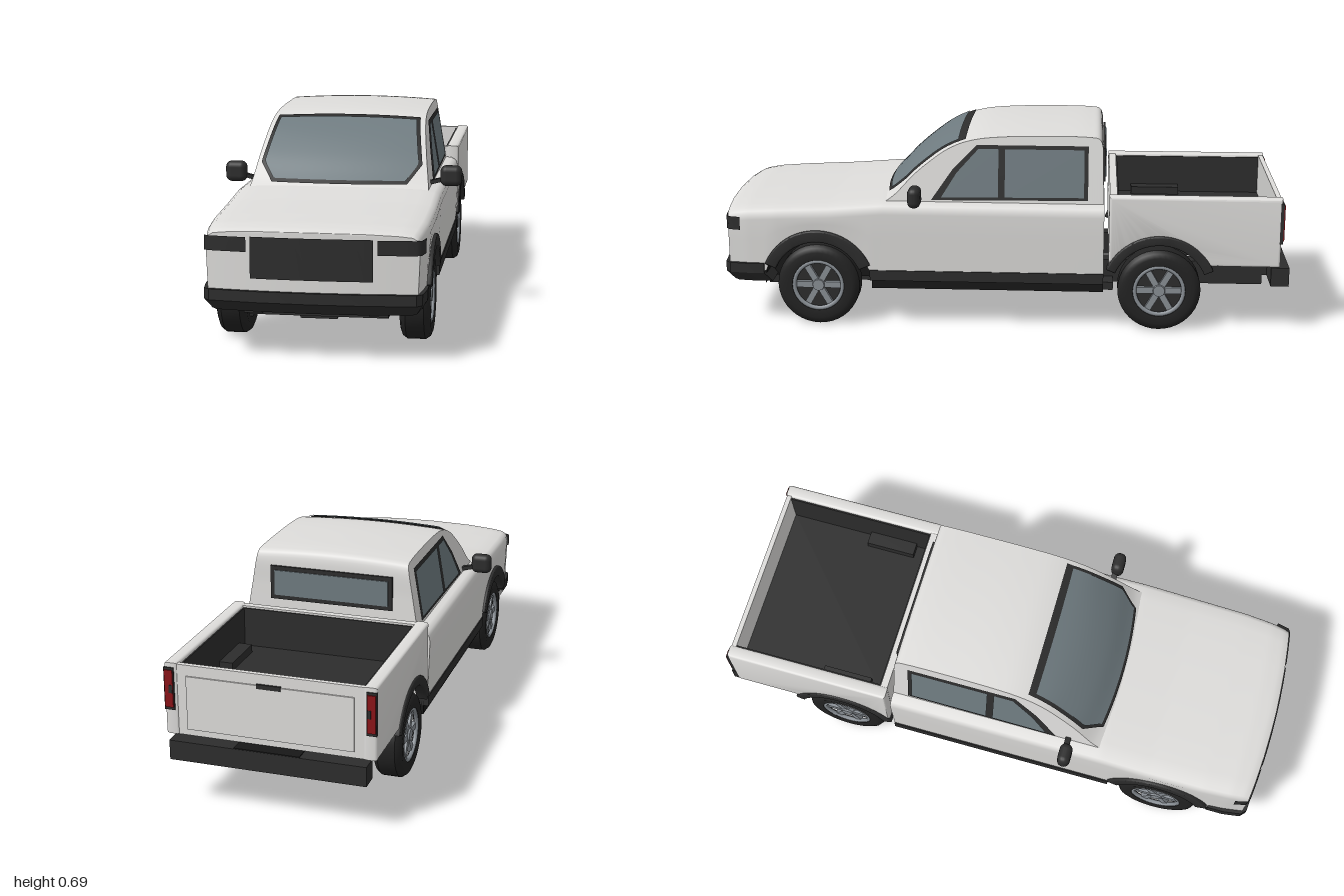
import * as THREE from 'three';
import { toCreasedNormals } from 'three/addons/utils/BufferGeometryUtils.js';
import { RoundedBoxGeometry } from 'three/addons/geometries/RoundedBoxGeometry.js';

const mat = (name, color, side = THREE.FrontSide) => {
  const m = new THREE.MeshStandardMaterial({ color, side });
  m.name = name;
  return m;
};
const { lerp, smoothstep } = THREE.MathUtils;

// piecewise linear lookup in [[key, value], ...] with rising keys
function look(table, k) {
  for (let i = 1; i < table.length; i++) {
    const [a, va] = table[i - 1], [b, vb] = table[i];
    if (k <= b) return lerp(va, vb, Math.max(0, (k - a) / (b - a)));
  }
  return table[table.length - 1][1];
}

// surface through fn(i, j) -> [x, y, z]
function grid(nu, nv, fn) {
  const pos = [], idx = [];
  for (let i = 0; i <= nu; i++) for (let j = 0; j <= nv; j++) pos.push(...fn(i, j));
  for (let i = 0; i < nu; i++) for (let j = 0; j < nv; j++) {
    const a = i * (nv + 1) + j, b = a + nv + 1;
    idx.push(a, b, a + 1, b, b + 1, a + 1);
  }
  const g = new THREE.BufferGeometry();
  g.setAttribute('position', new THREE.Float32BufferAttribute(pos, 3));
  g.setIndex(idx);
  g.computeVertexNormals();
  return g;
}

const ARCH_Y = 0.145, FRONT_Z = 0.65, REAR_Z = -0.55;
const widthAt = z => look([[-0.355, 0.355], [0.6, 0.355], [0.8, 0.352], [0.9, 0.345], [0.965, 0.335]], z);
const topAt = z => look([[-0.355, 0.455], [0.42, 0.457], [0.6, 0.443], [0.8, 0.434], [0.9, 0.428], [0.95, 0.42], [0.965, 0.412]], z);
const bow = (x, z) => z + 0.022 * (1 - (x / 0.335) ** 2) * smoothstep(z, 0.8, 0.965);
const cabWidth = y => 0.31 - 0.17 * (y - 0.44);

export function createModel() {
  const root = new THREE.Group();
  const D = THREE.DoubleSide;
  const body = mat('white paint', 0xdedddb, D), black = mat('black trim', 0x2d2d2d, D);
  const glass = mat('tinted glass', 0x6f7b80, D), under = mat('underbody', 0x171717, D);
  const rubber = mat('tyre rubber', 0x232323), metal = mat('wheel metal', 0x8a9096);
  const red = mat('tail light red', 0x8a1418);

  const add = (name, geo, m, x = 0, y = 0, z = 0, parent = root) => {
    const mesh = new THREE.Mesh(geo, m);
    mesh.name = name;
    mesh.position.set(x, y, z);
    parent.add(mesh);
    return mesh;
  };
  // box from its limits
  const box = (name, m, x0, x1, y0, y1, z0, z1) =>
    add(name, new THREE.BoxGeometry(x1 - x0, y1 - y0, z1 - z0), m, (x0 + x1) / 2, (y0 + y1) / 2, (z0 + z1) / 2);
  // side outline in (z, y) given thickness along x, from x - depth to x
  const sidePlate = (name, m, shape, x, depth, bevel = 0) => {
    const g = new THREE.ExtrudeGeometry(shape, {
      depth: depth - 2 * bevel, curveSegments: 28, bevelEnabled: bevel > 0,
      bevelThickness: bevel, bevelSize: bevel, bevelOffset: -bevel, bevelSegments: 3 });
    g.rotateY(-Math.PI / 2);
    return add(name, toCreasedNormals(g, 0.6), m, x - bevel);
  };

  // lower body: one skin lofted along z, cut up over the front wheels
  const section = z => {
    const w = widthAt(z), t = topAt(z), d = Math.abs(z - FRONT_Z);
    const yb = d < 0.19 ? Math.max(0.195, ARCH_Y + Math.sqrt(0.19 ** 2 - d * d)) : 0.195;
    const half = [0, 0.3, 0.6, 1].map(k => [w * (0.982 + 0.018 * k), lerp(yb, t - 0.048, k)]);
    half.push([w * 0.99, t - 0.03], [w * 0.97, t - 0.02], [w * 0.93, t - 0.012], [w * 0.8, t - 0.007], [w * 0.5, t - 0.002]);
    return [...half, [0, t], ...half.map(([x, y]) => [-x, y]).reverse()];
  };
  const N = 110, ringLast = 18;
  const stationZ = i => lerp(-0.355, 0.965, i / N);
  const rings = Array.from({ length: N + 1 }, (_, i) => section(stationZ(i)));
  add('lowerBody', grid(N, ringLast, (i, j) => {
    const [x, y] = rings[i][j];
    return [x, y, bow(x, stationZ(i))];
  }), body);
  const cap = (name, ring, z) => add(name, grid(9, 12, (i, k) => {
    const x = ring[i][0] * (1 - k / 6);
    return [x, ring[i][1], bow(x, z)];
  }), body);
  cap('noseFace', rings[N], 0.965);
  cap('bodyBack', rings[0], -0.355);

  // cab: windshield, roof and back in one sweep, closed by side panels
  const cabPath = new THREE.CatmullRomCurve3([[0.45, 0.44], [0.41, 0.468], [0.335, 0.545], [0.25, 0.61], [0.16, 0.655],
    [0.09, 0.674], [0, 0.683], [-0.15, 0.687], [-0.3, 0.685], [-0.335, 0.679], [-0.346, 0.66], [-0.35, 0.56], [-0.355, 0.44]]
    .map(([z, y]) => new THREE.Vector3(0, y, z)), false, 'centripetal').getPoints(96);
  const cabPoint = (u, y, z) => {
    const roof = z > 0 ? smoothstep(y, 0.58, 0.68) : 1;
    const yy = y - 0.01 * u * u * roof;
    return [u * cabWidth(yy), yy, z - 0.03 * u * u * (1 - roof)];
  };
  add('cabRoof', grid(96, 12, (i, j) => cabPoint(j / 6 - 1, cabPath[i].y, cabPath[i].z)), body);
  const frontLine = cabPath.filter(p => p.z > 0.05).map(p => [p.y, p.z]);
  for (const s of [1, -1]) {
    add('cabSide', grid(96, 1, (i, j) => {
      const e = cabPoint(s, cabPath[i].y, cabPath[i].z);
      return j ? e : [s * cabWidth(0.44), 0.44, e[2]];
    }), body);
  }

  // windshield seal and pane follow the cab surface
  const pane = (name, m, y0, y1, inset, lift) => add(name, grid(14, 12, (i, j) => {
    const y = lerp(y0, y1, i / 14);
    const half = Math.min(0.235 + (y - 0.462) * 0.8, 0.283 - (y - 0.51) * 0.19) - inset;
    const p = cabPoint((j / 6 - 1) * half / cabWidth(y), y, look(frontLine, y));
    return [p[0], p[1] + lift, p[2] + lift * 0.8];
  }), m);
  pane('windshieldSeal', black, 0.461, 0.665, 0, 0.004);
  pane('windshield', glass, 0.47, 0.657, 0.012, 0.007);

  // side windows
  const sideWindow = (name, m, pts, s, lift) => {
    const g = new THREE.ShapeGeometry(new THREE.Shape(pts.map(p => new THREE.Vector2(...p))));
    const a = g.attributes.position;
    for (let i = 0; i < a.count; i++) {
      const z = a.getX(i), y = a.getY(i);
      a.setXYZ(i, s * (cabWidth(y) + lift), y, z);
    }
    g.computeVertexNormals();
    add(name, g, m);
  };
  for (const s of [1, -1]) {
    sideWindow('sideWindowSeal', black, [[0.25, 0.453], [0.175, 0.56], [0.09, 0.645], [-0.298, 0.645], [-0.298, 0.458]], s, 0.003);
    sideWindow('frontSideWindow', glass, [[0.215, 0.463], [0.16, 0.55], [0.085, 0.632], [0.015, 0.632], [0.015, 0.466]], s, 0.006);
    sideWindow('rearSideWindow', glass, [[-0.008, 0.632], [-0.008, 0.466], [-0.284, 0.468], [-0.284, 0.632]], s, 0.006);
  }
  box('rearWindowSeal', black, -0.22, 0.22, 0.505, 0.625, -0.358, -0.35);
  box('rearWindow', glass, -0.205, 0.205, 0.52, 0.61, -0.361, -0.353);

  // grille and wrap-around headlights
  const ribbon = (name, m, path, y0, y1) =>
    add(name, grid(path.length - 1, 1, (i, j) => [path[i][0], j ? y1 : y0, path[i][1]]), m);
  const nose = x => [x, bow(x, 0.965) + 0.005];
  ribbon('grille', black, [-0.192, -0.13, -0.06, 0, 0.06, 0.13, 0.192].map(nose), 0.262, 0.394);
  for (const s of [1, -1]) {
    const path = [...[0.205, 0.25, 0.29, 0.325].map(nose), [0.34, 0.963], [0.35, 0.92]];
    ribbon('headlight', black, path.map(([x, z]) => [s * x, z]), 0.345, 0.392);
  }

  // front bumper, drawn in plan and tucked in below
  const plan = [[0.352, 0.84], [0.352, 0.9], [0.343, 0.962], [0.325, 0.98], [0.17, 0.995], [0, 1]];
  const bumperShape = new THREE.Shape([...plan, ...plan.slice(0, -1).reverse().map(([x, z]) => [-x, z])].map(([x, z]) => new THREE.Vector2(x, -z)));
  const bumper = new THREE.ExtrudeGeometry(bumperShape, { depth: 0.07, steps: 2, bevelEnabled: false }).rotateX(-Math.PI / 2);
  const bp = bumper.attributes.position;
  for (let i = 0; i < bp.count; i++) if (bp.getY(i) < 0.01) {
    bp.setX(i, bp.getX(i) * 0.94);
    bp.setZ(i, bp.getZ(i) - 0.025);
  }
  add('frontBumper', toCreasedNormals(bumper, 0.4), black, 0, 0.153, 0);

  // load bed
  const wall = new THREE.Shape();
  wall.moveTo(-0.372, 0.485).lineTo(-0.965, 0.485).lineTo(-0.965, 0.24);
  const a0 = Math.asin((0.24 - ARCH_Y) / 0.195);
  wall.absarc(REAR_Z, ARCH_Y, 0.195, Math.PI - a0, a0, true);
  wall.lineTo(-0.372, 0.24);
  for (const s of [1, -1]) {
    sidePlate('bedSide', body, wall, s > 0 ? 0.355 : -0.308, 0.047, 0.01);
    box('bedLiner', black, s * 0.306 - 0.003, s * 0.306 + 0.003, 0.33, 0.475, -0.945, -0.395);
    box('wheelTub', black, s * 0.28 - 0.025, s * 0.28 + 0.025, 0.33, 0.365, -0.64, -0.46);
    box('tailLightFrame', black, s * 0.337 - 0.017, s * 0.337 + 0.017, 0.325, 0.47, -0.97, -0.955);
    box('tailLight', red, s * 0.337 - 0.014, s * 0.337 + 0.014, 0.335, 0.462, -0.974, -0.96);
    box('reverseLight', black, s * 0.33 - 0.006, s * 0.33 + 0.006, 0.385, 0.412, -0.976, -0.97);
  }
  box('bedFront', body, -0.315, 0.315, 0.24, 0.482, -0.4, -0.374);
  box('bedFrontLiner', black, -0.306, 0.306, 0.33, 0.475, -0.405, -0.399);
  box('bedFloor', black, -0.31, 0.31, 0.33, 0.337, -0.95, -0.4);
  box('bedUnderside', body, -0.31, 0.31, 0.322, 0.33, -0.95, -0.4);
  box('tailgate', body, -0.315, 0.315, 0.24, 0.482, -0.962, -0.945);
  box('tailgatePanel', body, -0.28, 0.28, 0.262, 0.445, -0.967, -0.96);
  box('tailgateHandle', black, -0.04, 0.04, 0.435, 0.45, -0.97, -0.963);
  box('rearBumper', black, -0.33, 0.33, 0.165, 0.232, -1, -0.937);
  box('bumperStep', under, -0.11, 0.11, 0.228, 0.235, -0.999, -0.945);

  // wheel arch flares
  const flare = (z, m, x, inner) => {
    const s = new THREE.Shape();
    const a = 0.4;
    s.absarc(z, ARCH_Y, 0.202, a, Math.PI - a, false);
    s.absarc(z, ARCH_Y, inner, Math.PI - a, a, true);
    sidePlate('archFlare', m, s, x, 0.04, 0.005);
  };
  // wheels
  const tyre = toCreasedNormals(new THREE.LatheGeometry([[0.086, -0.03], [0.092, -0.047], [0.12, -0.05], [0.135, -0.044], [0.145, -0.03],
    [0.145, 0.03], [0.135, 0.044], [0.12, 0.05], [0.092, 0.047], [0.086, 0.03]].map(p => new THREE.Vector2(...p)), 40), 0.6);
  const makeWheel = (s, z) => {
    const w = new THREE.Group();
    w.name = 'wheel';
    add('tyre', tyre, rubber, 0, 0, 0, w);
    add('brakeDisc', new THREE.CylinderGeometry(0.088, 0.088, 0.05, 32), black, 0, 0, 0, w);
    add('rim', new THREE.TorusGeometry(0.086, 0.008, 8, 40).rotateX(Math.PI / 2), metal, 0, 0.04, 0, w);
    add('hub', new THREE.CylinderGeometry(0.02, 0.026, 0.02, 20), metal, 0, 0.036, 0, w);
    for (let i = 0; i < 6; i++) {
      const spoke = new THREE.Group();
      spoke.rotation.y = i * Math.PI / 3 + Math.PI / 6;
      w.add(spoke);
      add('spoke', new THREE.BoxGeometry(0.07, 0.014, 0.022), metal, 0.05, 0.033, 0, spoke);
    }
    w.rotation.z = -s * Math.PI / 2;
    w.position.set(s * 0.3, 0.145, z);
    root.add(w);
  };
  for (const s of [1, -1]) {
    flare(FRONT_Z, black, s > 0 ? 0.36 : -0.32, 0.16);
    flare(REAR_Z, black, s > 0 ? 0.36 : -0.32, 0.168);
    makeWheel(s, FRONT_Z);
    makeWheel(s, REAR_Z);
    // front wheel well
    add('wheelWell', new THREE.CylinderGeometry(0.19, 0.19, 0.1, 28, 1, true, -Math.PI / 2, Math.PI)
      .rotateX(-Math.PI / 2).rotateY(Math.PI / 2), under, s * 0.285, ARCH_Y, FRONT_Z);
    // sills, chassis rails
    box('sill', black, s * 0.335 - 0.018, s * 0.335 + 0.018, 0.168, 0.205, -0.355, 0.465);
    box('chassisRail', black, s * 0.17 - 0.03, s * 0.17 + 0.03, 0.13, 0.213, -0.92, -0.34);
    box('frontRail', black, s * 0.2 - 0.03, s * 0.2 + 0.03, 0.13, 0.17, 0.4, 0.9);
    // door mirrors
    add('mirror', new RoundedBoxGeometry(0.075, 0.072, 0.045, 4, 0.021), black, s * 0.378, 0.482, 0.3);
    const arm = add('mirrorArm', new THREE.BoxGeometry(0.07, 0.014, 0.02), black, s * 0.325, 0.462, 0.295);
    arm.rotation.z = s * 0.25;
  }

  // underbody
  box('underFloor', under, -0.335, 0.335, 0.135, 0.2, -0.355, 0.46);
  box('engineBay', under, -0.235, 0.235, 0.145, 0.38, 0.4, 0.9);
  box('skidPlate', black, -0.225, 0.225, 0.113, 0.135, 0.78, 0.85);
  box('skidStep', black, -0.06, 0.06, 0.103, 0.114, 0.79, 0.84);
  box('fuelTank', black, 0.05, 0.27, 0.122, 0.15, -0.39, -0.13);
  box('transmission', black, -0.05, 0.03, 0.125, 0.15, -0.3, 0.4);
  for (const z of [-0.42, -0.72, -0.88]) box('crossMember', black, -0.16, 0.16, 0.15, 0.195, z - 0.022, z + 0.022);
  for (const z of [FRONT_Z, REAR_Z]) {
    add('axle', new THREE.CylinderGeometry(0.02, 0.02, 0.54, 14).rotateZ(Math.PI / 2), black, 0, 0.145, z);
  }
  box('differential', black, -0.055, 0.055, 0.11, 0.19, REAR_Z - 0.05, REAR_Z + 0.05);
  box('bumperMount', black, -0.2, 0.2, 0.165, 0.205, -0.94, -0.9);
  return root;
}
